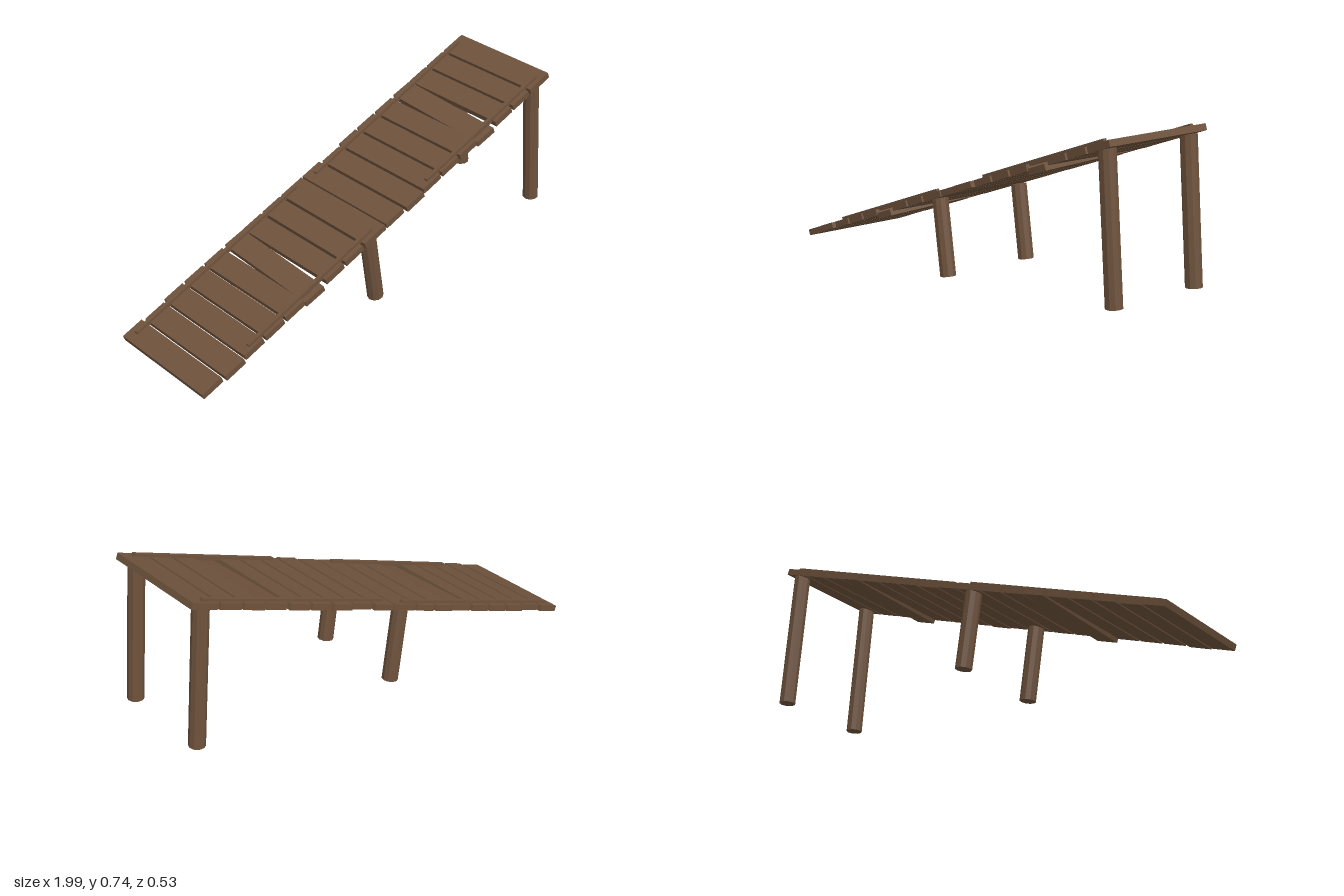
import * as THREE from 'three';

const SLOPE = THREE.MathUtils.degToRad(20);
const THICK = 0.027;

export function createModel() {
  const wood = new THREE.MeshStandardMaterial({ color: 0x6e523c });
  wood.name = 'brown wood';
  const model = new THREE.Group();
  model.name = 'ramp';

  // box given by its range along the slope, its top height and its centre in z
  function board(parent, name, s0, s1, top, thick, z, depth) {
    const mesh = new THREE.Mesh(new THREE.BoxGeometry(s1 - s0, thick, depth), wood);
    mesh.name = name;
    mesh.position.set((s0 + s1) / 2, top - thick / 2, z);
    parent.add(mesh);
    return mesh;
  }

  // one sloping deck: nine planks and two thin rails on top
  function deck(name, x, y) {
    const group = new THREE.Group();
    group.name = name;
    group.position.set(x, y, 0);
    group.rotation.z = SLOPE;
    const k = 1 / Math.cos(SLOPE);
    const pitch = 0.108 * k;
    for (let i = 0; i < 9; i++) {
      const s0 = i * pitch;
      const s1 = i === 8 ? 0.978 * k : s0 + 0.097 * k;
      const plank = board(group, 'plank', s0, s1, 0, THICK, -0.005, 0.52);
      if (i === 1) plank.position.z += 0.011; // slipped sideways
      if (i === 5) { // loose and crooked
        plank.rotation.set(0.036, -0.03, 0);
        plank.position.y -= 0.008;
      }
    }
    const back = board(group, 'backRail', 0.04 * k, 0.93 * k, 0.012, 0.02, -0.233, 0.017);
    back.rotation.y = 0.018;
    const front = board(group, 'frontRail', 0.255 * k, 0.93 * k, 0.012, 0.02, 0.228, 0.017);
    front.rotation.y = 0.012;
    model.add(group);
  }
  deck('lowerDeck', -1, 0.025);
  deck('upperDeck', -0.015, 0.383);

  // leaning round posts in pairs
  function post(name, bottom, top) {
    const axis = top.clone().sub(bottom);
    const geo = new THREE.CylinderGeometry(0.035, 0.035, axis.length(), 10, 1, false, Math.PI / 2).toNonIndexed();
    geo.computeVertexNormals();
    const mesh = new THREE.Mesh(geo, wood);
    mesh.name = name;
    mesh.position.copy(bottom).add(top).multiplyScalar(0.5);
    mesh.quaternion.setFromUnitVectors(new THREE.Vector3(0, 1, 0), axis.normalize());
    model.add(mesh);
  }
  for (const z of [0.208, -0.23]) {
    post('middlePost', new THREE.Vector3(-0.025, 0.005, z), new THREE.Vector3(-0.075, 0.332, z));
    post('endPost', new THREE.Vector3(0.96, 0.092, z), new THREE.Vector3(0.91, 0.694, z));
  }
  return model;
}
